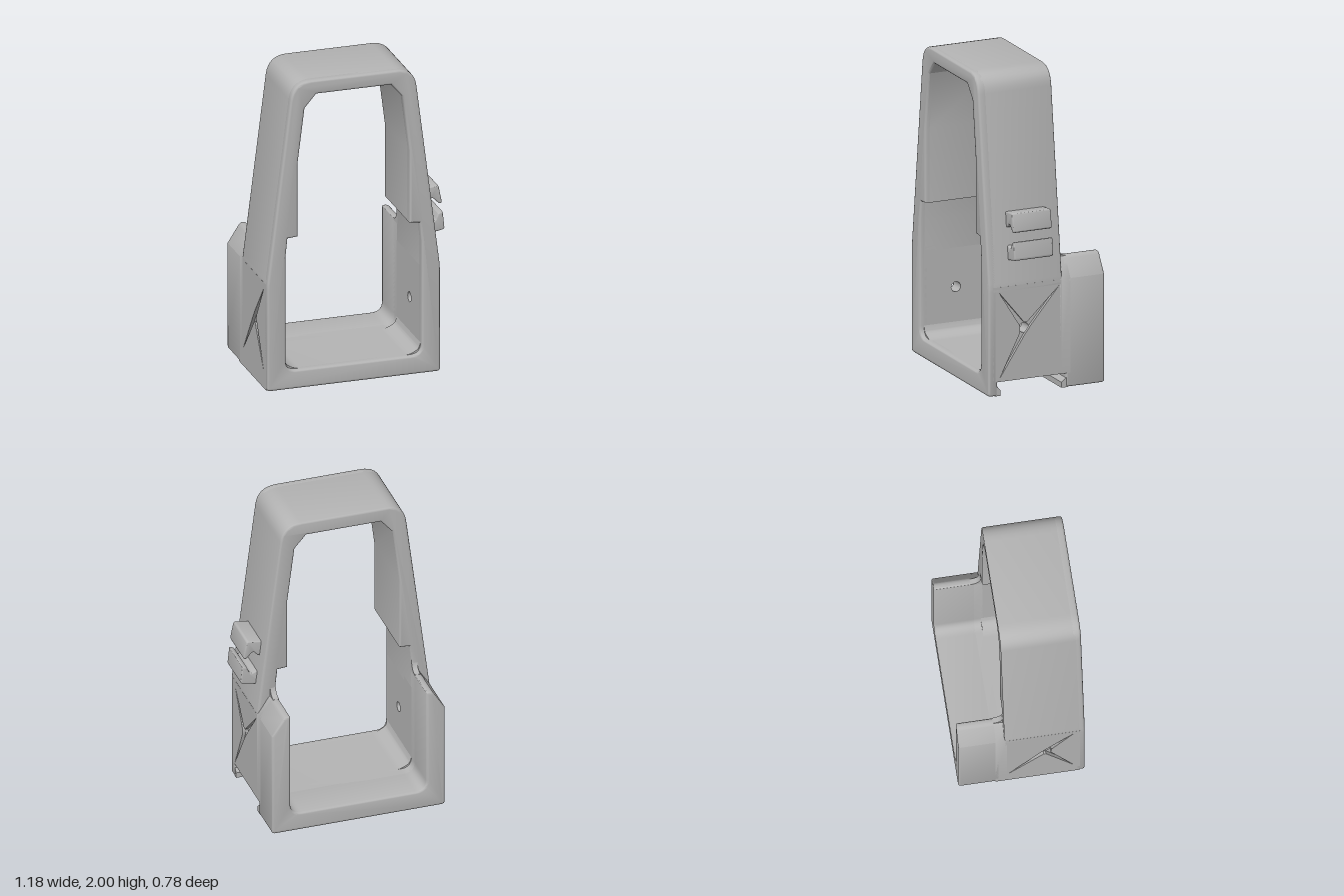
import * as THREE from 'three';
import { toCreasedNormals } from 'three/addons/utils/BufferGeometryUtils.js';

const CX = -0.038; // centre line of the frame

// Closed outline from [x, y, cornerRadius] points
function outline(points, Kind = THREE.Shape) {
  const path = new Kind();
  const n = points.length;
  points.forEach((p, i) => {
    const c = new THREE.Vector2(p[0], p[1]);
    const toward = (q) => {
      const d = new THREE.Vector2(q[0], q[1]).sub(c);
      return c.clone().add(d.setLength(Math.min(p[2] || 0, d.length() * 0.5)));
    };
    const a = toward(points[(i + n - 1) % n]);
    const b = toward(points[(i + 1) % n]);
    if (i === 0) path.moveTo(a.x, a.y);
    else path.lineTo(a.x, a.y);
    if (p[2]) path.quadraticCurveTo(c.x, c.y, b.x, b.y);
  });
  path.closePath();
  return path;
}

// Right half (bottom to top) plus its mirror image about the centre line
const mirrored = (half) => [
  ...half.map(([w, y, r]) => [CX + w, y, r]),
  ...half.slice().reverse().map(([w, y, r]) => [CX - w, y, r]),
];

function extrude(shape, from, to, bevel = 0) {
  const g = new THREE.ExtrudeGeometry(shape, {
    depth: to - from - 2 * bevel, curveSegments: 8, bevelEnabled: bevel > 0,
    bevelSize: bevel, bevelThickness: bevel, bevelOffset: -bevel, bevelSegments: 3,
  });
  g.translate(0, 0, from + bevel);
  return g;
}

export function createModel() {
  const model = new THREE.Group();
  model.name = 'mountingFrame';
  const grey = new THREE.MeshStandardMaterial({ color: 0xb4b4b4 });
  grey.name = 'grey plastic';

  const add = (name, geometry) => {
    const mesh = new THREE.Mesh(toCreasedNormals(geometry, 0.6), grey);
    mesh.name = name;
    model.add(mesh);
  };
  const alongZ = (name, shape, from, to, bevel) => add(name, extrude(shape, from, to, bevel));
  // Outline given as (-z, y), extruded along x
  const alongX = (name, shape, from, to, bevel) =>
    add(name, extrude(shape, from, to, bevel).rotateY(Math.PI / 2));

  const outerTop = [[0.555, 0.69, 0.03], [0.39, 2.0, 0.12]];
  const innerTop = [
    [0.437, 0.86], [0.424, 0.985], [0.36, 0.99], [0.36, 1.46],
    [0.314, 1.825], [0.24, 1.91],
  ];

  // Full closed loop at the front
  const loop = outline(mirrored([[0.555, 0, 0.02], ...outerTop]));
  loop.holes.push(outline(mirrored([[0.437, 0.12, 0.07], ...innerTop]), THREE.Path));
  alongZ('frontFrame', loop, 0.33, 0.39, 0.014);

  // Upper arch behind the front loop
  const arch = outline([
    ...mirrored([[0.555, 0.66], ...outerTop]),
    ...mirrored([[0.437, 0.66], ...innerTop]).reverse(),
  ]);
  alongZ('towerArch', arch, -0.105, 0.37, 0.012);

  // Open tray behind the tower, with chamfered side walls
  const tray = (bottom, r) => outline(mirrored([
    [0.555, bottom, r], [0.555, 0.69], [0.475, 0.815, 0.02],
    [0.437, 0.815, 0.012], [0.437, 0.12, 0.07],
  ]));
  alongZ('rearTray', tray(0, 0.02), -0.39, -0.13, 0.014);
  alongZ('trayBridge', tray(0.09, 0), -0.16, -0.09);

  // Floor over the mounting slot
  alongZ('floor', outline([
    [CX - 0.437, 0.09], [CX + 0.437, 0.09], [CX + 0.437, 0.19],
    [CX + 0.425, 0.15, 0.02], [CX + 0.367, 0.12, 0.03],
    [CX - 0.367, 0.12, 0.03], [CX - 0.425, 0.15, 0.02], [CX - 0.437, 0.19],
  ]), -0.1, 0.36);

  // Closed end of the slot and its undercut rails
  const slotEnd = new THREE.BoxGeometry(0.303, 0.1, 0.52);
  slotEnd.translate(-0.4415, 0.05, 0.1);
  add('slotEnd', slotEnd);
  alongX('frontRail', outline([[-0.345, 0], [-0.31, 0], [-0.31, 0.035], [-0.33, 0.06], [-0.345, 0.06]]), -0.3, 0.513);
  alongX('rearRail', outline([[0.1, 0], [0.145, 0], [0.145, 0.06], [0.13, 0.06], [0.1, 0.035]]), -0.3, 0.513);

  // Side walls: screw hole through the core, star-shaped creases in the skin
  const wall = (hole) => {
    const s = outline([[-0.36, 0.09], [0.1, 0.09], [0.1, 0.69], [-0.36, 0.69]]);
    s.holes.push(hole);
    return s;
  };
  const hole = () => new THREE.Path().absarc(-0.145, 0.41, 0.032, 0, Math.PI * 2, true);
  const star = (tips) => {
    const pts = [];
    tips.forEach(([z, y]) => {
      const a = Math.atan2(y - 0.41, -z + 0.145);
      const rim = (k) => [-0.145 + 0.042 * Math.cos(a + k), 0.41 + 0.042 * Math.sin(a + k)];
      pts.push(rim(-0.42), [-z, y], rim(0.42));
    });
    return outline(pts, THREE.Path);
  };
  alongX('rightWallCore', wall(hole()), CX - 0.535, CX - 0.437);
  alongX('leftWallCore', wall(hole()), CX + 0.437, CX + 0.535);
  alongX('leftWallSkin', wall(star([[-0.085, 0.655], [0.32, 0.655], [0.32, 0.105]])), CX + 0.535, CX + 0.555);
  alongX('rightWallSkin', wall(star([[0.32, 0.655], [0.32, 0.105], [-0.085, 0.105]])), CX - 0.555, CX - 0.535);

  // Concave fillets where the tower meets the tray walls
  for (const side of [-1, 1]) {
    const f = new THREE.Shape();
    f.moveTo(0.08, 0.8);
    f.lineTo(0.165, 0.8);
    f.lineTo(0.165, 0.815);
    f.quadraticCurveTo(0.103, 0.815, 0.1, 0.9);
    f.lineTo(0.08, 0.9);
    f.closePath();
    const x = CX + side * 0.455;
    alongX('wallFillet', f, x - 0.018, x + 0.018);
  }

  // Pair of cable clip jaws on the left side
  alongZ('upperClip', outline([
    [0.44, 1.04], [0.485, 1.055], [0.51, 1.085, 0.02], [0.56, 1.035, 0.01],
    [0.575, 1.045, 0.01], [0.552, 1.16, 0.015], [0.44, 1.145],
  ]), -0.01, 0.25, 0.008);
  alongZ('lowerClip', outline([
    [0.46, 0.85], [0.5, 0.85], [0.592, 0.868, 0.015], [0.58, 0.985, 0.01],
    [0.55, 0.975, 0.01], [0.53, 0.925, 0.02], [0.495, 0.94], [0.46, 0.94],
  ]), -0.01, 0.25, 0.008);

  return model;
}
